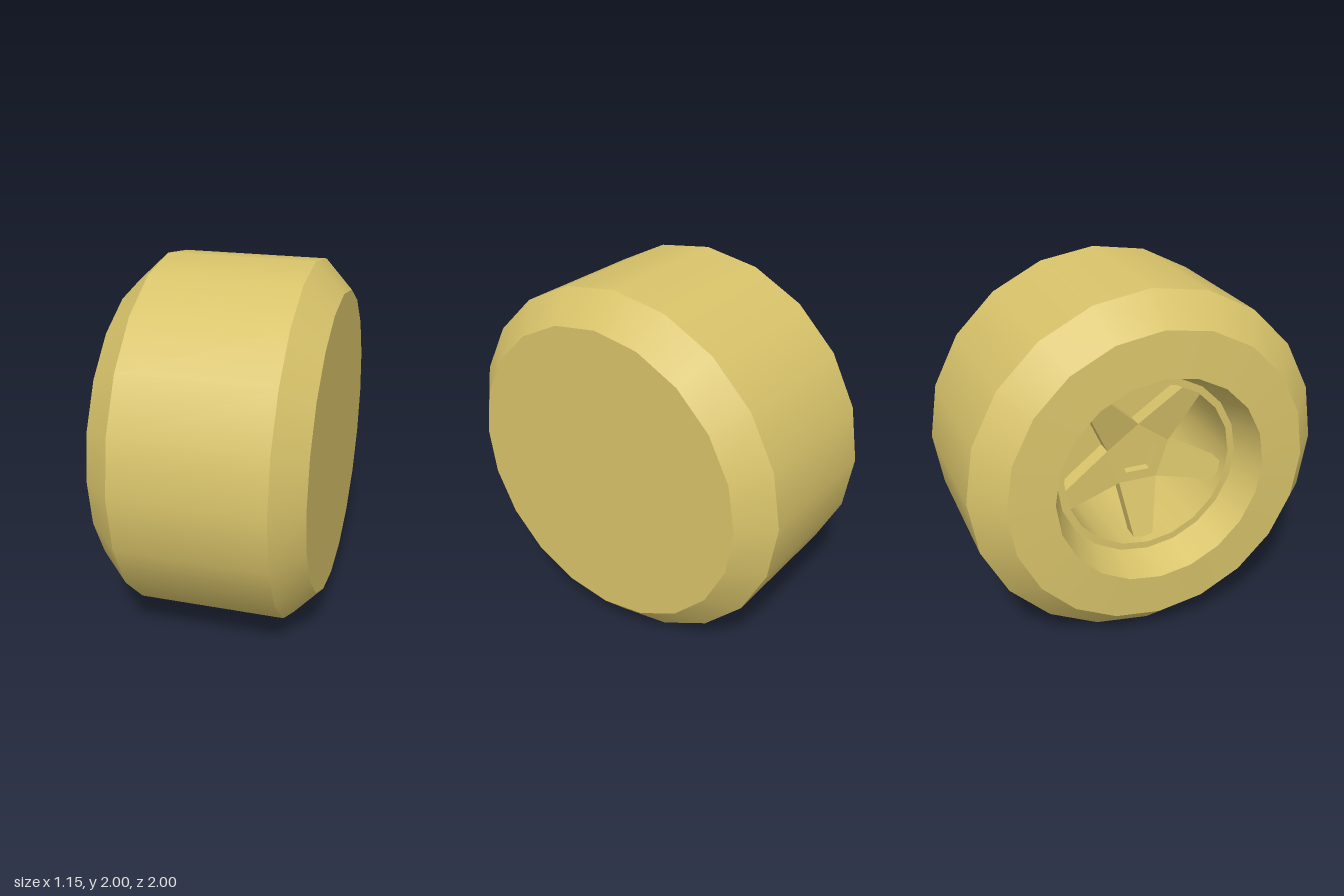
import * as THREE from 'three';
import { mergeGeometries } from 'three/addons/utils/BufferGeometryUtils.js';

const SIDES = 20;

// Lathe around the x axis; points are [x, radius], each band keeps its own crisp edges
function bands(points) {
  const parts = [];
  for (let i = 0; i < points.length - 1; i++) {
    const pair = [points[i], points[i + 1]].map(([x, r]) => new THREE.Vector2(r, x));
    parts.push(new THREE.LatheGeometry(pair, SIDES));
  }
  return mergeGeometries(parts).rotateZ(-Math.PI / 2);
}

function pentagon(radius) {
  return Array.from({ length: 5 }, (_, k) => {
    const a = Math.PI / 2 + (k * 2 * Math.PI) / 5;
    return new THREE.Vector2(Math.cos(a) * radius, Math.sin(a) * radius);
  });
}

// Extrusion whose front lies at depth "front" before being turned to face -x
function slab(shape, front, thickness) {
  return new THREE.ExtrudeGeometry(shape, { depth: thickness, bevelEnabled: false })
    .translate(0, 0, front - thickness);
}

export function createModel() {
  const model = new THREE.Group();
  model.name = 'wheel';
  const gold = new THREE.MeshStandardMaterial({ color: 0xd8c36a });
  gold.name = 'gold';

  const add = (name, geometry) => {
    const mesh = new THREE.Mesh(geometry, gold);
    mesh.name = name;
    mesh.position.y = 1;
    model.add(mesh);
  };

  // Outer tyre with chamfered shoulders and a closed inner side
  add('tyre', bands([[-0.575, 0.59], [-0.56, 0.84], [-0.39, 1], [0.42, 1], [0.575, 0.84], [0.575, 0]]));

  // Dished rim with a narrow lip and a deep barrel
  add('rim', bands([[0.25, 0], [0.25, 0.48], [-0.385, 0.48], [-0.385, 0.52], [-0.575, 0.59]]));

  // Five tapering spokes sloping outwards from the hub
  const hubRadius = 0.19, hubFront = 0.24, thickness = 0.09;
  const rootY = hubRadius * Math.cos(Math.PI / 5);
  const rootHalf = hubRadius * Math.sin(Math.PI / 5);
  const tipY = 0.485, tipHalf = 0.055;
  const spokeShape = new THREE.Shape([
    new THREE.Vector2(-rootHalf, rootY), new THREE.Vector2(rootHalf, rootY),
    new THREE.Vector2(tipHalf, tipY), new THREE.Vector2(-tipHalf, tipY),
  ]);
  for (let k = 0; k < 5; k++) {
    const spoke = slab(spokeShape, hubFront, thickness);
    const p = spoke.attributes.position;
    for (let i = 0; i < p.count; i++) p.setZ(i, p.getZ(i) + (p.getY(i) - rootY) * 0.27);
    spoke.computeVertexNormals();
    spoke.rotateZ(Math.PI / 5 + (k * 2 * Math.PI) / 5).rotateY(-Math.PI / 2);
    add('spoke', spoke);
  }

  // Five-sided hub with a shallow recess in its centre
  const hubShape = new THREE.Shape(pentagon(hubRadius));
  hubShape.holes.push(new THREE.Path(pentagon(0.12)));
  add('hub', slab(hubShape, hubFront, thickness).rotateY(-Math.PI / 2));
  add('hubCentre', slab(new THREE.Shape(pentagon(0.12)), hubFront - 0.05, thickness - 0.05).rotateY(-Math.PI / 2));

  return model;
}
